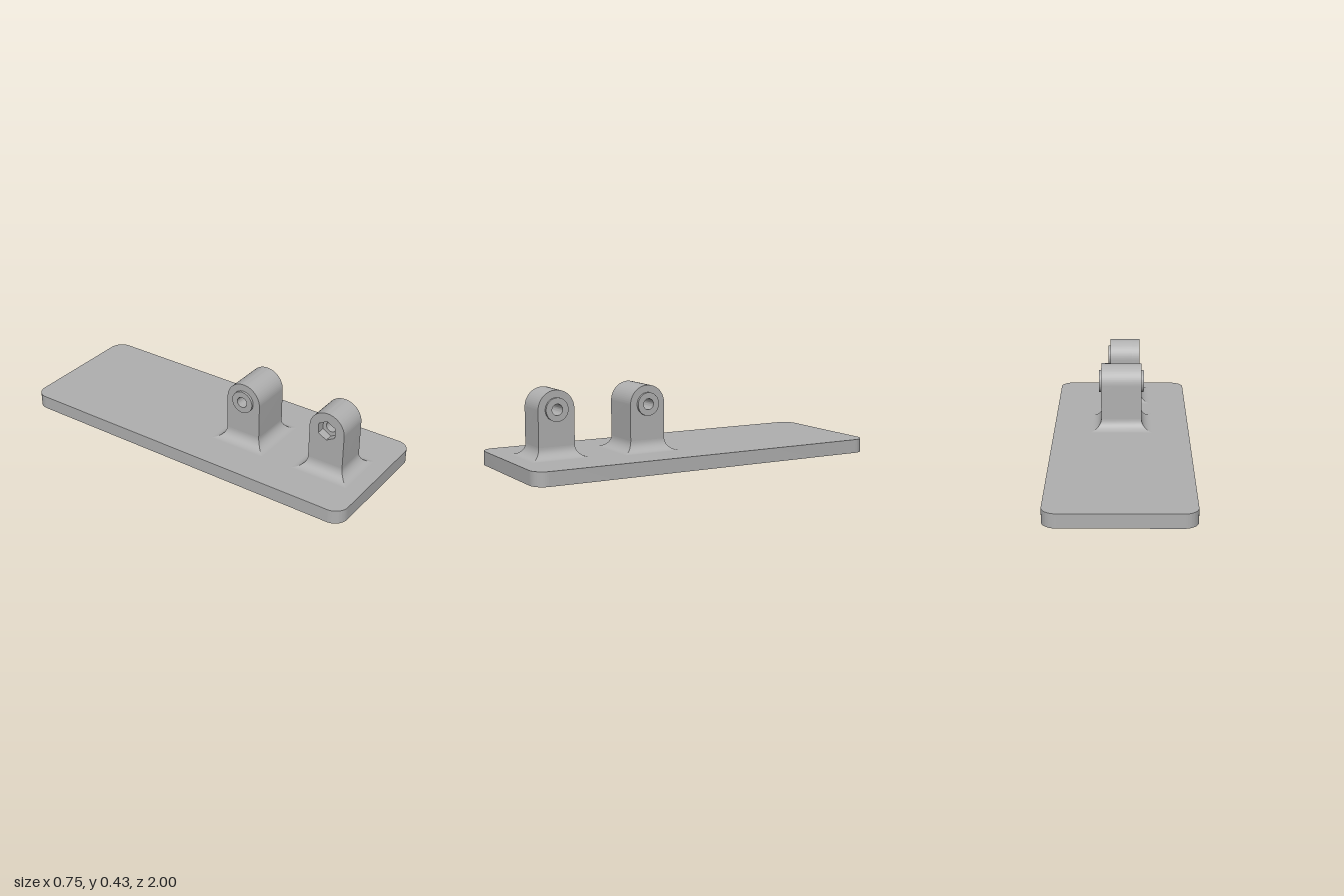
import * as THREE from 'three';
import { toCreasedNormals } from 'three/addons/utils/BufferGeometryUtils.js';

const PLATE_TOP = 0.075, PIN_Y = 0.325, HALF_DEPTH = 0.1, FILLET = 0.06;
const HOLE = 0.029, BOSS = 0.0615;

export function createModel() {
  const model = new THREE.Group();
  const grey = new THREE.MeshStandardMaterial({ color: 0xb0b0b0 });
  grey.name = 'plain grey';

  const add = (parent, name, geometry) => {
    const mesh = new THREE.Mesh(geometry, grey);
    mesh.name = name;
    parent.add(mesh);
    return mesh;
  };

  const extrude = (shape, depth) => toCreasedNormals(
    new THREE.ExtrudeGeometry(shape, { depth, bevelEnabled: false, curveSegments: 32 }), 0.5);

  // Extrude a side outline along x, from x0 to x1
  const extrudeX = (shape, x0, x1) => extrude(shape, x1 - x0).rotateY(Math.PI / 2).translate(x0, 0, 0);

  const circle = (r) => new THREE.Path().absarc(0, PIN_Y, r, 0, Math.PI * 2, true);

  // Hexagonal nut pocket outline
  const hexagon = (r) => new THREE.Path(Array.from({ length: 6 }, (_, i) => {
    const a = -i * Math.PI / 3 + Math.PI / 6;
    return new THREE.Vector2(r * Math.cos(a), PIN_Y + r * Math.sin(a));
  }));

  // Round-topped upright with one hole
  const uprightShape = (hole) => {
    const s = new THREE.Shape();
    s.moveTo(-HALF_DEPTH, PLATE_TOP);
    s.lineTo(HALF_DEPTH, PLATE_TOP);
    s.lineTo(HALF_DEPTH, PIN_Y);
    s.absarc(0, PIN_Y, HALF_DEPTH, 0, Math.PI, false);
    s.closePath();
    s.holes.push(hole);
    return s;
  };

  const bossShape = new THREE.Shape().absarc(0, PIN_Y, BOSS, 0, Math.PI * 2, false);
  bossShape.holes.push(circle(HOLE));

  // Concave skirt with mitred corners, one smooth strip per side
  const filletGeometry = (x0, x1) => {
    const steps = 12, pos = [], idx = [];
    const corner = (k, o) => [
      [x0 - o, HALF_DEPTH + o], [x1 + o, HALF_DEPTH + o],
      [x1 + o, -HALF_DEPTH - o], [x0 - o, -HALF_DEPTH - o],
    ][k % 4];
    for (let side = 0; side < 4; side++) {
      for (let i = 0; i <= steps; i++) {
        const a = (i / steps) * Math.PI / 2;
        const o = FILLET * (1 - Math.sin(a));
        const y = PLATE_TOP + FILLET * (1 - Math.cos(a));
        for (const k of [side, side + 1]) {
          const [x, z] = corner(k, o);
          pos.push(x, y, z);
        }
        if (i < steps) {
          const b = (side * (steps + 1) + i) * 2;
          idx.push(b, b + 1, b + 3, b, b + 3, b + 2);
        }
      }
    }
    const g = new THREE.BufferGeometry();
    g.setAttribute('position', new THREE.Float32BufferAttribute(pos, 3));
    g.setIndex(idx);
    g.computeVertexNormals();
    return g;
  };

  // Base plate with rounded corners
  const W = 0.375, L = 1, R = 0.075;
  const plate = new THREE.Shape();
  plate.absarc(W - R, L - R, R, 0, Math.PI / 2);
  plate.absarc(-W + R, L - R, R, Math.PI / 2, Math.PI);
  plate.absarc(-W + R, -L + R, R, Math.PI, Math.PI * 1.5);
  plate.absarc(W - R, -L + R, R, Math.PI * 1.5, Math.PI * 2);
  plate.closePath();
  add(model, 'basePlate', extrude(plate, PLATE_TOP).rotateX(-Math.PI / 2));

  // Middle lug: plain bore with a boss on both sides
  const middle = new THREE.Group();
  middle.name = 'middleLug';
  middle.position.z = 0.25;
  add(middle, 'upright', extrudeX(uprightShape(circle(HOLE)), -0.112, 0.112));
  add(middle, 'fillet', filletGeometry(-0.112, 0.112));
  add(middle, 'leftBoss', extrudeX(bossShape, 0.112, 0.125));
  add(middle, 'rightBoss', extrudeX(bossShape, -0.125, -0.112));
  model.add(middle);

  // Front lug: nut pocket on one side, boss on the other
  const front = new THREE.Group();
  front.name = 'frontLug';
  front.position.z = 0.75;
  add(front, 'pocketWall', extrudeX(uprightShape(hexagon(0.055)), -0.106, -0.06));
  add(front, 'upright', extrudeX(uprightShape(circle(HOLE)), -0.06, 0.068));
  add(front, 'fillet', filletGeometry(-0.106, 0.068));
  add(front, 'leftBoss', extrudeX(bossShape, 0.068, 0.081));
  model.add(front);

  return model;
}
